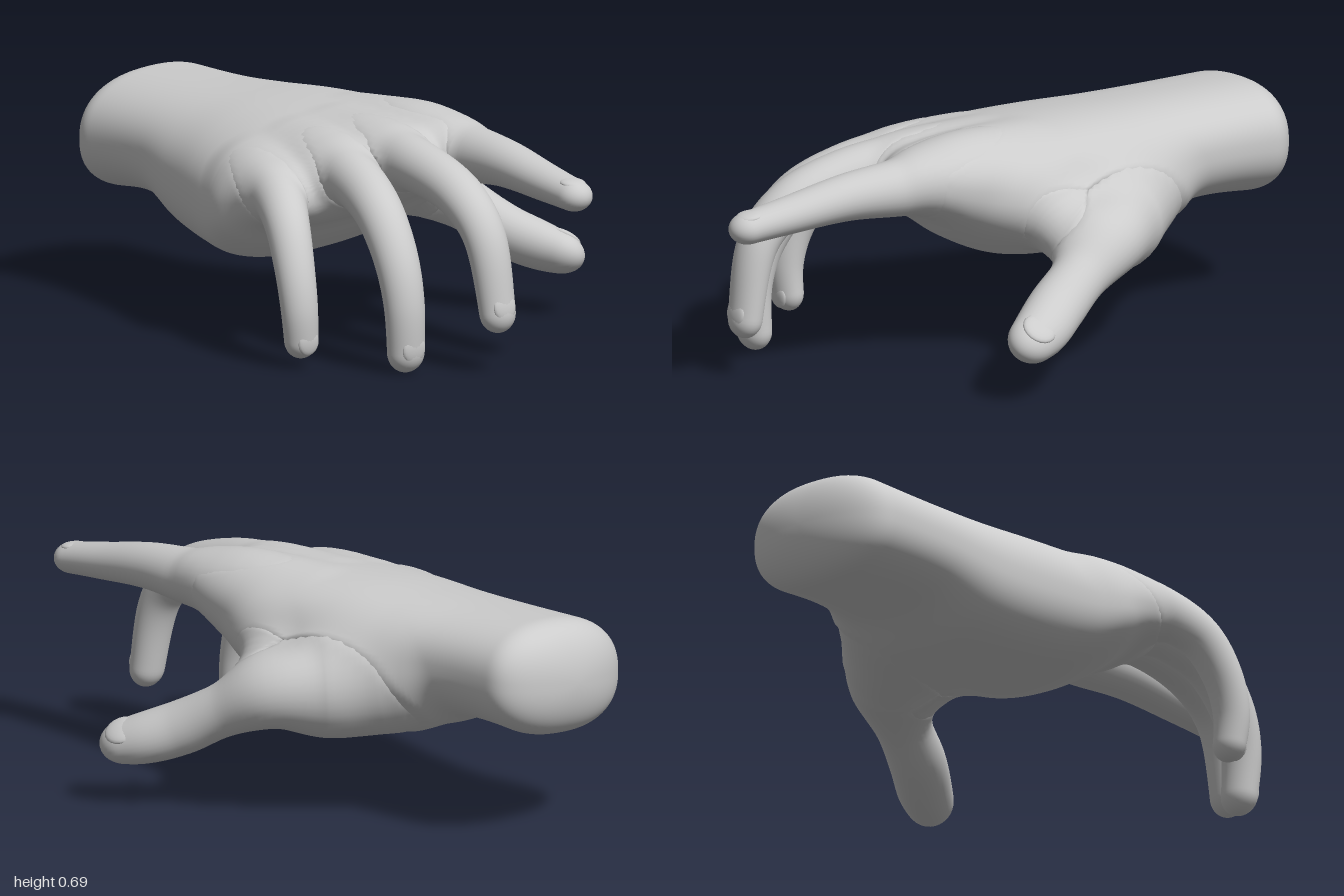
import * as THREE from 'three';
import { mergeVertices } from 'three/addons/utils/BufferGeometryUtils.js';

const skin = new THREE.MeshStandardMaterial({ color: 0xcccccc, roughness: 0.8 });

// Closed smooth skin over rings: point(t, angle) runs from one pole to the other.
function loft(rings, sides, point) {
  const pos = [], index = [];
  for (let i = 0; i <= rings; i++) {
    const t = 0.5 - 0.5 * Math.cos(Math.PI * i / rings); // denser rings at both rounded ends
    for (let j = 0; j < sides; j++) {
      pos.push(...point(t, j / sides * Math.PI * 2));
      if (i === rings) continue;
      const a = i * sides + j, b = i * sides + (j + 1) % sides;
      index.push(a, b, a + sides, b, b + sides, a + sides);
    }
  }
  const g = new THREE.BufferGeometry();
  g.setAttribute('position', new THREE.Float32BufferAttribute(pos, 3));
  g.setIndex(index);
  return mergeVertices(g, 1e-5);
}

function addMesh(parent, name, geometry) {
  const mesh = new THREE.Mesh(geometry, skin);
  mesh.name = name;
  parent.add(mesh);
  return mesh;
}

// Rounding factor: 0 at the end, 1 once the distance reaches the given depth
const dome = (d, depth, power = 2) =>
  Math.sqrt(Math.max(0, 1 - Math.max(0, 1 - d / depth) ** power));

// Wrist and palm, rows of: z, right edge, left edge, top, bottom, sideways tilt
function makePalm() {
  const rows = [
    [-1.00, -0.345, 0.19, 0.655, 0.295, 0.02],
    [-0.62, -0.36, 0.18, 0.655, 0.31, 0.02],
    [-0.45, -0.40, 0.21, 0.66, 0.25, 0.03],
    [-0.25, -0.455, 0.24, 0.668, 0.23, 0.045],
    [-0.05, -0.505, 0.24, 0.665, 0.245, 0.06],
    [0.10, -0.53, 0.20, 0.65, 0.31, 0.07],
    [0.22, -0.51, 0.15, 0.635, 0.39, 0.075],
    [0.36, -0.46, 0.09, 0.61, 0.44, 0.075],
  ];
  const section = new THREE.CubicInterpolant(
    new Float32Array(rows.map(r => r[0])), new Float32Array(rows.flatMap(r => r.slice(1))), 5, new Float32Array(5));
  const soft = v => Math.sign(v) * Math.abs(v) ** 0.85, n = 2 / 0.85;
  // the knuckle row slants forward towards the first finger
  const slant = z => 0.42 * THREE.MathUtils.smoothstep(z, -0.4, 0.25);
  const geometry = loft(160, 110, (t, a) => {
    const z = -1 + 1.36 * t;
    const [xr, xl, top, bottom, tilt] = section.evaluate(z);
    const k = dome(z + 1, 0.14, 2.5) * dome(0.36 - z, 0.12, 2.5);
    const c = soft(Math.cos(a)) * k, s = soft(Math.sin(a)) * k;
    const x = (xl + xr) / 2 + c * (xl - xr) / 2;
    return [x, (top + bottom) / 2 + s * (top - bottom) / 2 + tilt * c, z + slant(z) * (x + 0.18)];
  });
  // Approximate signed distance to the same shape
  const dist = p => {
    let z = p.z;
    for (let i = 0; i < 4; i++) z = p.z - slant(z) * (p.x + 0.18);
    const [xr, xl, top, bottom, tilt] = section.evaluate(z);
    const dx = p.x - (xl + xr) / 2, dy = p.y - (top + bottom) / 2;
    const dz = z - THREE.MathUtils.clamp(z, -0.86, 0.24);
    const c = dx / (xl - xr) * 2, s = (dy - tilt * c) / (top - bottom) * 2;
    const w = Math.abs(dz) / (dz > 0 ? 0.12 : 0.14);
    const g = Math.sqrt((Math.abs(c) ** n + Math.abs(s) ** n) ** (2 / n) + w ** 2.5);
    return (1 - 1 / Math.max(g, 1e-6)) * Math.hypot(dx, dy, dz);
  };
  return { name: 'palmAndWrist', geometry, dist };
}

// Tapered digit along a bent path, rows of: x, y, z, half width.
// It is round at the root and gets flatter towards the tip.
function makeDigit(name, rows, nailAt, across = new THREE.Vector3(1, 0, 0)) {
  const path = new THREE.CatmullRomCurve3(rows.map(r => new THREE.Vector3(r[0], r[1], r[2])));
  const widths = new THREE.SplineCurve(rows.map((r, i) => new THREE.Vector2(i, r[3])));
  const first = path.getPoint(0), last = path.getPoint(1);
  const frame = t => {
    const p = path.getPoint(t), T = path.getTangent(t);
    const S = across.clone().addScaledVector(T, -across.dot(T)).normalize();
    const r = widths.getPoint(t).y;
    return { p, T, S, N: new THREE.Vector3().crossVectors(T, S), r, h: r * (1.07 - 0.23 * t) };
  };
  const geometry = loft(84, 32, (t, a) => {
    const { p, S, N, r, h } = frame(t);
    const k = dome(p.distanceTo(first), r) * dome(p.distanceTo(last), r);
    return p.addScaledVector(S, Math.cos(a) * r * k).addScaledVector(N, Math.sin(a) * h * k).toArray();
  });
  // Approximate signed distance: nearest of a row of ellipsoids
  const beads = Array.from({ length: 49 }, (_, i) => frame(i / 48))
    .filter(({ p, r }) => Math.min(p.distanceTo(first), p.distanceTo(last)) > r * 0.95);
  const d = new THREE.Vector3();
  const dist = q => {
    let best = Infinity;
    for (const { p, S, N, T, r, h } of beads) {
      d.subVectors(q, p);
      const g = Math.hypot(d.dot(S) / r, d.dot(N) / h, d.dot(T) / r);
      best = Math.min(best, (1 - 1 / Math.max(g, 1e-6)) * d.length());
    }
    return best;
  };
  return { name, geometry, dist, nail: nailAt && frame(nailAt) };
}

const smoothMin = (a, b, k) => Math.min(a, b) - Math.max(k - Math.abs(a - b), 0) ** 2 / (4 * k);

// Moves the skin of each part outward where it meets others, so they flow together.
function blendParts(body, fingers) {
  const parts = [...body, ...fingers];
  const total = p => smoothMin(
    body.map(b => b.dist(p)).reduce((a, b) => smoothMin(a, b, 0.1)),
    Math.min(...fingers.map(f => f.dist(p))), 0.07);
  const p = new THREE.Vector3(), q = new THREE.Vector3(), grad = new THREE.Vector3(), e = 0.006;
  for (const part of parts) {
    const others = parts.filter(o => o !== part);
    const pos = part.geometry.attributes.position;
    for (let i = 0; i < pos.count; i++) {
      p.fromBufferAttribute(pos, i);
      const buried = Math.max(0, -Math.min(...others.map(o => o.dist(p))));
      if (buried > 0.06) continue;
      const level = part.dist(p) - 0.5 * buried; // buried skin stays just below its neighbour
      for (let step = 0; step < 4; step++) {
        const f = total(p);
        if (level - f < 2e-4) break;
        for (const axis of ['x', 'y', 'z']) {
          q.copy(p)[axis] += e;
          grad[axis] = (total(q) - f) / e;
        }
        p.addScaledVector(grad, Math.min(0.04, (level - f) / Math.max(grad.lengthSq(), 0.3)));
      }
      pos.setXYZ(i, p.x, p.y, p.z);
    }
    part.geometry.computeVertexNormals();
  }
  return parts;
}

export function createModel() {
  const thumb = makeDigit('thumb', [
    [0.04, 0.42, -0.56, 0.09], [0.11, 0.40, -0.40, 0.135], [0.22, 0.385, -0.26, 0.148],
    [0.345, 0.375, -0.15, 0.11], [0.405, 0.31, -0.01, 0.084], [0.455, 0.245, 0.11, 0.086],
    [0.515, 0.205, 0.21, 0.082], [0.575, 0.175, 0.33, 0.062],
  ], 0.91, new THREE.Vector3(0.56, -0.48, -0.56));

  // Skin fold between the thumb and the first finger
  const web = makeDigit('thumbWeb', [
    [0.35, 0.37, -0.13, 0.075], [0.28, 0.39, -0.075, 0.085],
    [0.20, 0.45, -0.03, 0.09], [0.10, 0.53, 0.10, 0.085],
  ], 0, new THREE.Vector3(1, 0, 1));

  const index = makeDigit('indexFinger', [
    [0.03, 0.55, -0.14, 0.08], [0.065, 0.583, 0.18, 0.108], [0.075, 0.575, 0.40, 0.09],
    [0.063, 0.573, 0.60, 0.075], [0.05, 0.55, 0.80, 0.063], [0.04, 0.527, 0.995, 0.054],
  ], 0.93);

  const middle = makeDigit('middleFinger', [
    [-0.10, 0.55, -0.06, 0.08], [-0.115, 0.57, 0.22, 0.091], [-0.145, 0.565, 0.45, 0.08],
    [-0.155, 0.51, 0.65, 0.074], [-0.155, 0.41, 0.76, 0.067], [-0.145, 0.125, 0.825, 0.056],
  ], 0.95);

  const ring = makeDigit('ringFinger', [
    [-0.22, 0.525, -0.08, 0.08], [-0.255, 0.54, 0.15, 0.089], [-0.30, 0.52, 0.35, 0.08],
    [-0.34, 0.455, 0.50, 0.074], [-0.357, 0.34, 0.595, 0.069], [-0.36, 0.21, 0.637, 0.064],
    [-0.35, 0.003, 0.635, 0.058],
  ], 0.94);

  const little = makeDigit('littleFinger', [
    [-0.36, 0.48, -0.14, 0.08], [-0.41, 0.485, 0.03, 0.086], [-0.46, 0.47, 0.17, 0.078],
    [-0.515, 0.41, 0.28, 0.068], [-0.545, 0.30, 0.35, 0.062], [-0.553, 0.18, 0.383, 0.058],
    [-0.54, 0.03, 0.38, 0.052],
  ], 0.94);

  const hand = new THREE.Group();
  hand.name = 'hand';
  for (const { name, geometry, nail } of blendParts([makePalm(), thumb, web], [index, middle, ring, little])) {
    addMesh(hand, name, geometry);
    if (!nail) continue;
    // Nail plate lying almost flush on the back of the tip
    const { p, T, S, N, r, h } = nail;
    const plate = addMesh(hand, name + 'Nail', new THREE.SphereGeometry(1, 20, 12));
    plate.quaternion.setFromRotationMatrix(new THREE.Matrix4().makeBasis(S, N, T));
    plate.position.copy(p).addScaledVector(N, h * 0.74);
    plate.scale.set(r * 0.7, h * 0.27, r * 0.75);
  }
  return hand;
}
